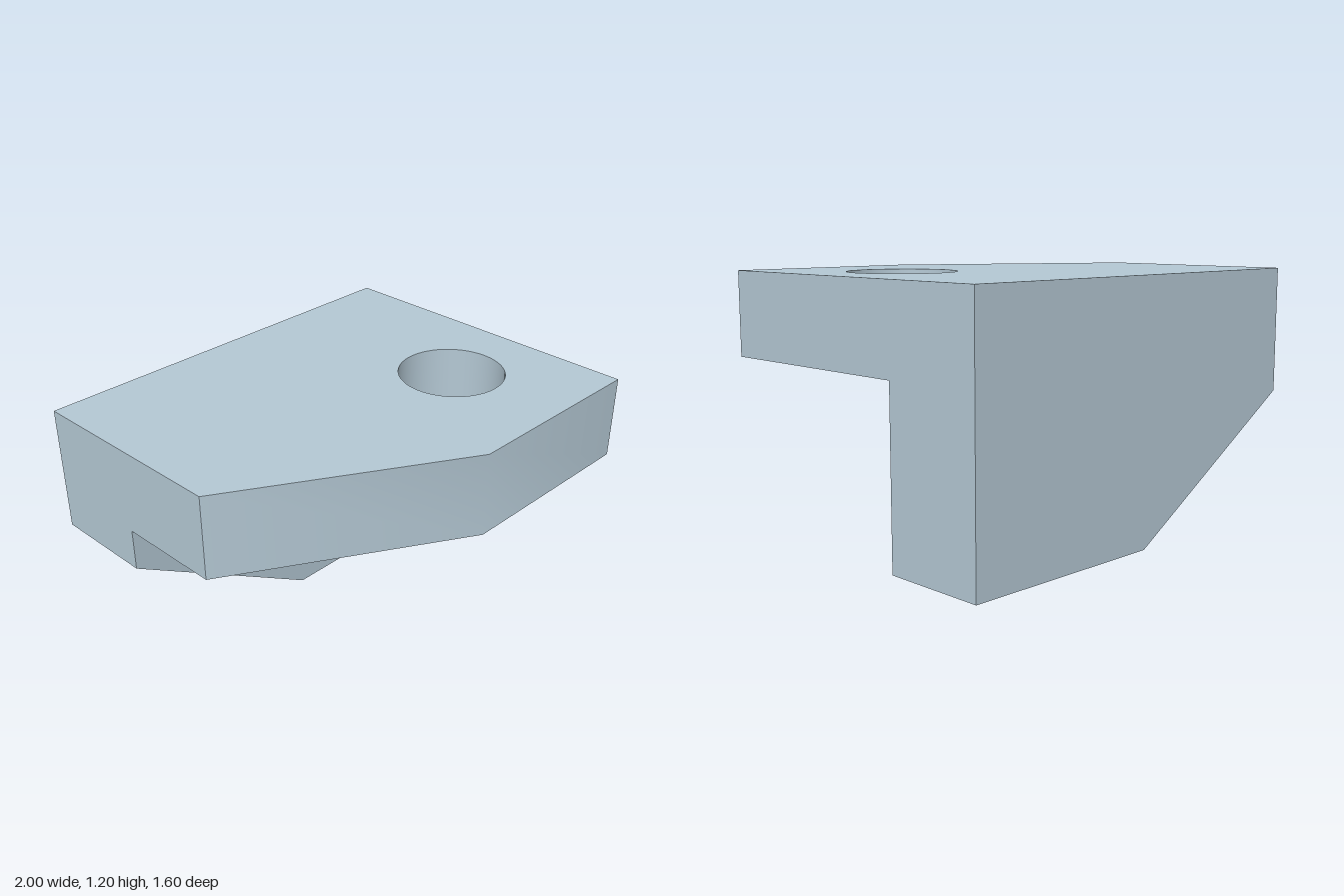
import * as THREE from 'three';
import { toCreasedNormals } from 'three/addons/utils/BufferGeometryUtils.js';

const outline = (points) => new THREE.Shape(points.map(([x, y]) => new THREE.Vector2(x, y)));

// Straight extrusion with sharp corners and a smooth bore
function extrude(shape, depth) {
  const geometry = new THREE.ExtrudeGeometry(shape, { depth, bevelEnabled: false, curveSegments: 64 });
  return toCreasedNormals(geometry, Math.PI / 6);
}

export function createModel() {
  const group = new THREE.Group();
  group.name = 'angleBracket';
  const material = new THREE.MeshStandardMaterial({ color: 0xb4c8d4 });

  // Horizontal plate: one clipped corner and a round through hole (shape y is -z)
  const plateShape = outline([[-1, 0.8], [-1, -0.2], [0.04, -0.8], [1, -0.8], [1, 0.8]]);
  const hole = new THREE.Path();
  hole.absarc(0.52, -0.2, 0.25, 0, Math.PI * 2, true);
  plateShape.holes.push(hole);
  const plate = new THREE.Mesh(extrude(plateShape, 0.4).rotateX(-Math.PI / 2), material);
  plate.name = 'topPlate';
  plate.position.y = 0.8;

  // Vertical wall along the back, with its lower corner clipped
  const wallShape = outline([[-1, 0.8], [-1, 0.6], [0, 0], [1, 0], [1, 0.8]]);
  const wall = new THREE.Mesh(extrude(wallShape, 0.5), material);
  wall.name = 'backWall';
  wall.position.z = -0.8;

  group.add(plate, wall);
  return group;
}
